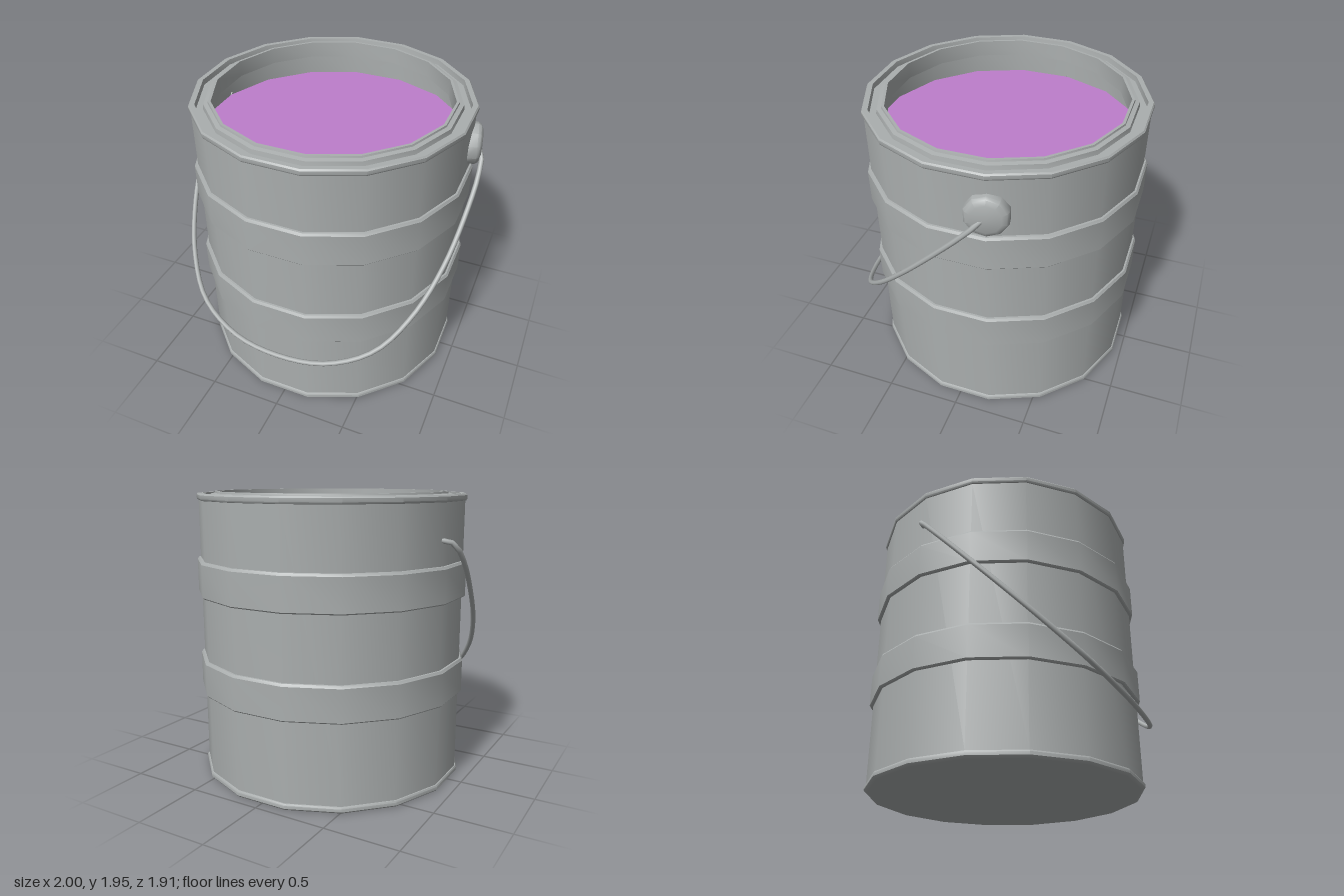
import * as THREE from 'three';
import { toCreasedNormals } from 'three/addons/utils/BufferGeometryUtils.js';

const SIDES = 16;
const FLAT = 1 / Math.cos(Math.PI / SIDES); // flat-to-flat radius -> corner radius
const CAN_Z = -0.035;

const metal = new THREE.MeshStandardMaterial({ color: 0xaaaeae });
metal.name = 'metal';
const paint = new THREE.MeshStandardMaterial({ color: 0xbd7ecc });
paint.name = 'purplePaint';

// Sixteen-sided ring or shell from [flat radius, y] pairs, smooth around, sharp at edges
function shell(name, profile) {
  const pts = profile.map(([r, y]) => new THREE.Vector2(r * FLAT, y));
  const geo = new THREE.LatheGeometry(pts, SIDES, Math.PI / SIDES);
  const mesh = new THREE.Mesh(toCreasedNormals(geo, 0.6), metal);
  mesh.name = name;
  return mesh;
}

export function createModel() {
  const model = new THREE.Group();
  model.name = 'paintCan';

  const can = new THREE.Group();
  can.name = 'can';
  can.position.z = CAN_Z;
  model.add(can);

  // Body with bottom bead, top rim, lid groove, inner lip and inside wall
  can.add(shell('body', [
    [0, 0.004], [0.88, 0.004], [0.89, 0],
    [0.9, 0.004], [0.908, 0.014], [0.908, 0.034], [0.902, 0.044], [0.896, 0.046],
    [0.896, 1.89], [0.902, 1.892], [0.908, 1.902], [0.908, 1.925], [0.9, 1.935],
    [0.868, 1.935], [0.863, 1.9], [0.82, 1.9], [0.815, 1.93],
    [0.788, 1.935], [0.785, 1.947], [0.768, 1.947],
    [0.766, 1.84], [0.88, 1.84], [0.88, 1.64],
  ]));

  // Two raised bands
  for (const [name, y] of [['lowerBand', 0.592], ['upperBand', 1.26]]) {
    can.add(shell(name, [
      [0.89, y], [0.912, y], [0.919, y + 0.008],
      [0.919, y + 0.224], [0.908, y + 0.24], [0.89, y + 0.242],
    ]));
  }

  // Paint surface
  const surface = new THREE.Mesh(new THREE.CircleGeometry(0.882 * FLAT, SIDES, Math.PI / SIDES), paint);
  surface.name = 'paintSurface';
  surface.rotation.x = -Math.PI / 2;
  surface.position.y = 1.66;
  can.add(surface);

  // Handle mount on the left side only
  const earPts = [[0.138, -0.03], [0.138, 0.035], [0.126, 0.054], [0.095, 0.068], [0, 0.072]]
    .map(([r, h]) => new THREE.Vector2(r, h));
  const ear = new THREE.Mesh(
    toCreasedNormals(new THREE.LatheGeometry(earPts, 10, Math.PI / 10).rotateZ(-Math.PI / 2), 0.65), metal);
  ear.name = 'handleMount';
  ear.position.set(0.885, 1.665, -0.22);
  ear.rotation.y = 0.22;
  model.add(ear);

  // Wire handle, lying in one slanted plane
  const half = [
    [0.87, 1.663], [0.925, 1.66], [0.965, 1.63], [0.984, 1.53], [0.974, 1.36],
    [0.92, 1.07], [0.81, 0.81], [0.63, 0.6], [0.34, 0.475],
  ];
  const path = [
    ...half.map(([x, y]) => [-x, y]), [0, 0.44], ...half.slice().reverse(),
  ].map(([x, y]) => new THREE.Vector3(x, y, -0.22 + (1.663 - y) * 0.945));
  const handle = new THREE.Mesh(
    new THREE.TubeGeometry(new THREE.CatmullRomCurve3(path, false, 'centripetal'), 56, 0.017, 8), metal);
  handle.name = 'handle';
  model.add(handle);

  return model;
}
